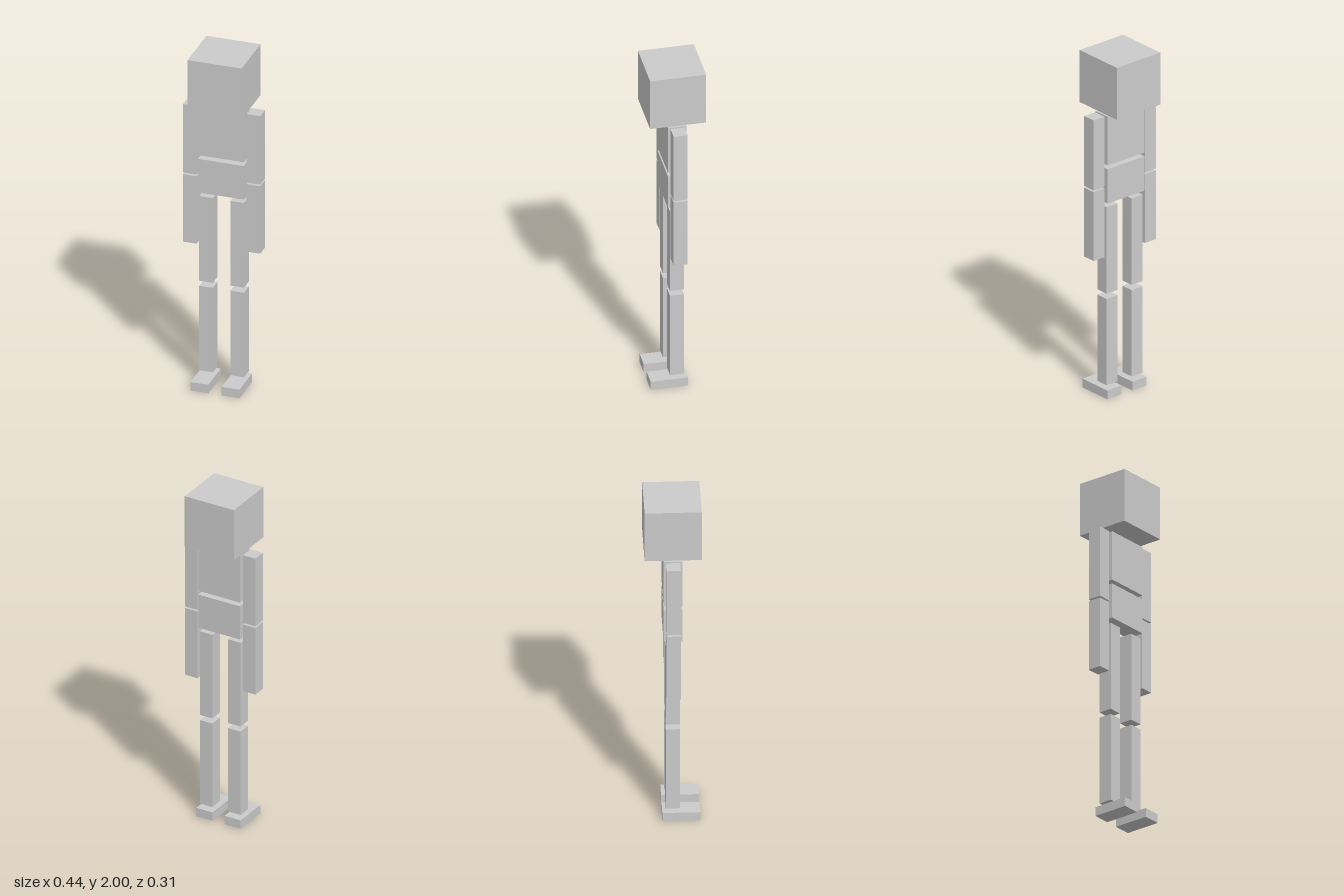
import * as THREE from 'three';

export function createModel() {
  const model = new THREE.Group();
  model.name = 'blockFigure';
  const material = new THREE.MeshStandardMaterial({ color: 0xcccccc, flatShading: true });

  // Box spanning y0..y1, centred at x, z
  function block(name, width, depth, y0, y1, x = 0, z = 0) {
    const mesh = new THREE.Mesh(new THREE.BoxGeometry(width, y1 - y0, depth), material);
    mesh.name = name;
    mesh.position.set(x, (y0 + y1) / 2, z);
    model.add(mesh);
  }

  // Head and two-part torso
  block('head', 0.309, 0.309, 1.692, 2);
  block('chest', 0.262, 0.102, 1.38, 1.668);
  block('abdomen', 0.262, 0.102, 1.154, 1.357);

  // Mirrored limbs
  for (const [side, s] of [['left', 1], ['right', -1]]) {
    block(side + 'UpperArm', 0.078, 0.078, 1.254, 1.668, s * 0.182);
    block(side + 'Forearm', 0.078, 0.078, 0.836, 1.244, s * 0.182);
    block(side + 'Thigh', 0.078, 0.078, 0.615, 1.127, s * 0.089);
    block(side + 'Shin', 0.078, 0.078, 0.073, 0.584, s * 0.089);
    block(side + 'Foot', 0.102, 0.206, 0, 0.052, s * 0.089, 0.045);
  }

  return model;
}
